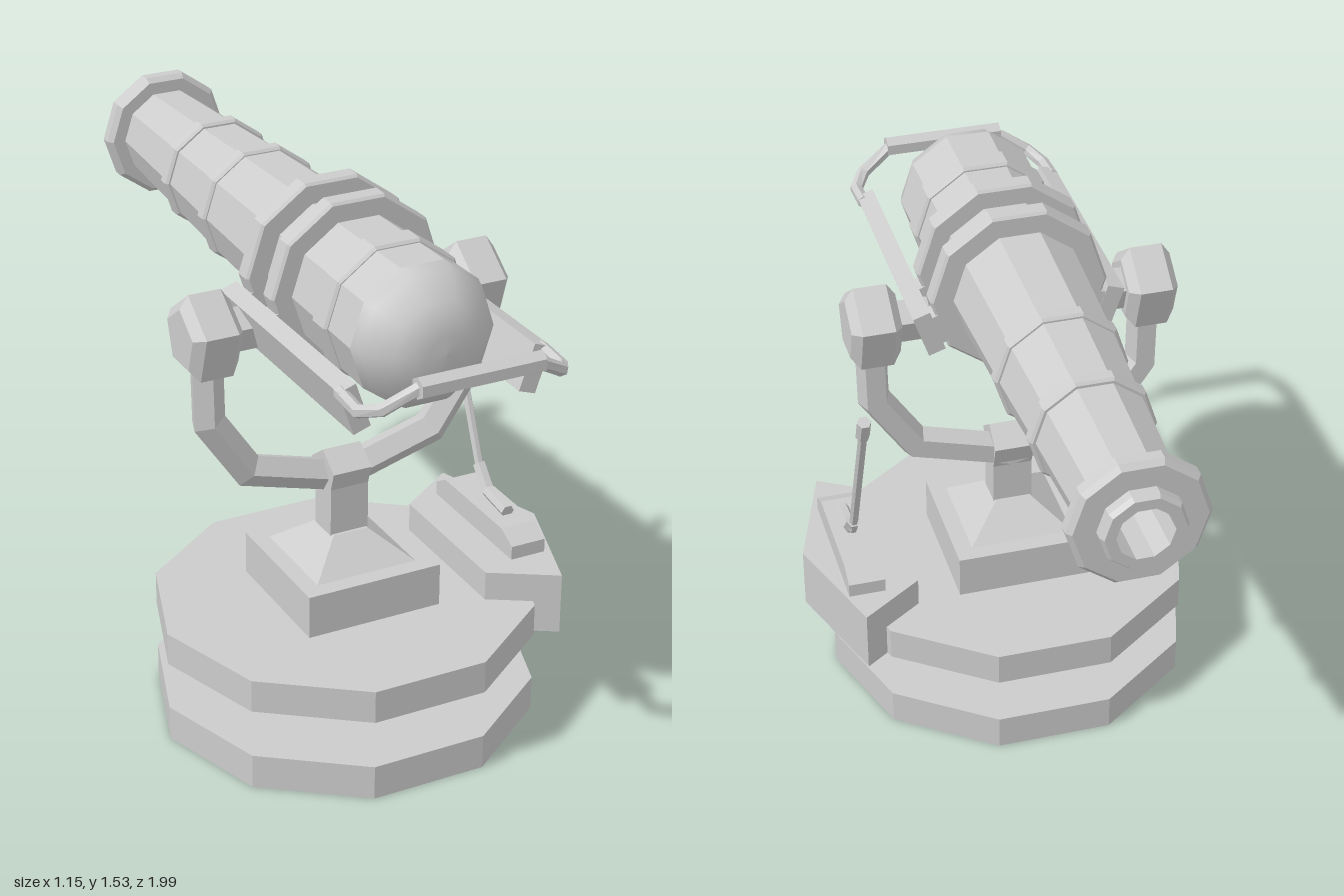
import * as THREE from 'three';

const material = new THREE.MeshStandardMaterial({ color: 0xcccccc, flatShading: true });
const smooth = new THREE.MeshStandardMaterial({ color: 0xcccccc });
const AXIS_X = -0.045, BARREL_Y = 1.295, PIVOT_Z = 0.23;
const DECAGON = Math.cos(Math.PI / 10);

function add(parent, name, geometry, x = 0, y = 0, z = 0, mat = material) {
  const mesh = new THREE.Mesh(geometry, mat);
  mesh.name = name;
  mesh.position.set(x, y, z);
  parent.add(mesh);
  return mesh;
}

// Ten-sided turned form along z; profile is [apothem, z] with z rising on outer faces
function turned(profile) {
  const pts = profile.map(([r, z]) => new THREE.Vector2(r / DECAGON, z));
  return new THREE.LatheGeometry(pts, 10, Math.PI / 2).rotateX(Math.PI / 2);
}

// Decagonal slab with corners on the x axis
function slab(r, h) {
  return new THREE.CylinderGeometry(r, r, h, 10, 1, false, Math.PI / 2);
}

// Outline extruded along x; outline is [z, y]
function extrudeX(outline, width) {
  const shape = new THREE.Shape(outline.map(([z, y]) => new THREE.Vector2(-z, y)));
  return new THREE.ExtrudeGeometry(shape, { depth: width, bevelEnabled: false })
    .translate(0, 0, -width / 2).rotateY(Math.PI / 2);
}

// Faceted bar with mitred corners; up fixes the roll of the section
function sweep(path, r, sides, up) {
  const pts = path.map(p => new THREE.Vector3(...p));
  const last = pts.length - 1, pos = [], idx = [];
  pts.forEach((p, i) => {
    const before = pts[i].clone().sub(pts[Math.max(i - 1, 0)]).normalize();
    const after = pts[Math.min(i + 1, last)].clone().sub(p).normalize();
    const t = before.clone().add(after).normalize();
    const s = t.clone().cross(up).normalize();
    const u = s.clone().cross(t);
    const mitre = 1 / Math.max(0.5, t.dot(i < last ? after : before));
    for (let j = 0; j < sides; j++) {
      const a = j / sides * Math.PI * 2;
      const v = p.clone().addScaledVector(u, r * Math.cos(a)).addScaledVector(s, r * mitre * Math.sin(a));
      pos.push(v.x, v.y, v.z);
    }
  });
  for (let i = 0; i < last; i++) for (let j = 0; j < sides; j++) {
    const k = (j + 1) % sides, a = i * sides + j, b = i * sides + k;
    idx.push(a, b, a + sides, b, b + sides, a + sides);
  }
  for (let j = 1; j < sides - 1; j++) {
    idx.push(0, j + 1, j);
    idx.push(last * sides, last * sides + j, last * sides + j + 1);
  }
  const g = new THREE.BufferGeometry();
  g.setAttribute('position', new THREE.Float32BufferAttribute(pos, 3));
  g.setIndex(idx);
  g.computeVertexNormals();
  return g;
}

function buildBase(g) {
  add(g, 'lowerDisc', slab(0.535, 0.1), 0, 0.05, 0.255);
  add(g, 'baseColumn', slab(0.212, 0.16), 0, 0.17, 0.255);
  add(g, 'upperDisc', slab(0.535, 0.095), 0, 0.2875, 0.255);
  add(g, 'pedestal', new THREE.BoxGeometry(0.4, 0.125, 0.4), 0, 0.3975, 0.245);
  const s = Math.SQRT2;
  add(g, 'pedestalSlope', new THREE.CylinderGeometry(0.052 * s, 0.15 * s, 0.08, 4, 1, false, Math.PI / 4), 0, 0.5, 0.245);
  add(g, 'neck', new THREE.BoxGeometry(0.114, 0.15, 0.092), 0, 0.605, 0.243);
}

function buildYoke(g) {
  const pentagon = (r, l) => new THREE.CylinderGeometry(r, r, l, 5).rotateX(-Math.PI / 2).rotateY(Math.PI / 2);
  // Five-sided clamp with its point up
  const ring = [0, 1, 2, 3, 4].map(i => {
    const a = i * Math.PI * 0.4;
    return [Math.sin(a) * 0.07, Math.cos(a) * 0.07];
  });
  add(g, 'yokeClamp', extrudeX(ring, 0.114), 0, 0.71, 0.24);
  const half = [[0.395, 1.13], [0.392, 0.937], [0.28, 0.77], [0, 0.69]];
  const path = [...half.map(([x, y]) => [-x, y, PIVOT_Z]), ...half.slice(0, 3).reverse().map(([x, y]) => [x, y, PIVOT_Z])];
  add(g, 'yoke', sweep(path, 0.047, 5, new THREE.Vector3(0, 0, 1)));

  // Bevelled five-sided pivot blocks and their axles
  const profile = [[0, -0.071], [0.085, -0.071], [0.121, -0.046], [0.121, 0.046], [0.085, 0.071], [0, 0.071]]
    .map(p => new THREE.Vector2(...p));
  for (const s of [-1, 1]) {
    const block = new THREE.LatheGeometry(profile, 5).rotateX(-Math.PI / 2).rotateY(Math.PI / 2);
    add(g, 'pivotBlock', block, s * 0.394, 1.19, PIVOT_Z);
    add(g, 'axle', pentagon(0.062, 0.11), s * 0.29, 1.19, PIVOT_Z);
  }
}

function buildBarrel(g) {
  add(g, 'barrel', turned([
    [0, -0.7], [0.072, -0.7], [0.072, -1], [0.1, -1], [0.108, -0.985], [0.108, -0.96],
    [0.165, -0.96], [0.178, -0.945], [0.178, -0.915], [0.165, -0.9], [0.13, -0.9],
    [0.147, -0.55], [0.162, -0.27], [0.18, 0.2], [0.19, 0.67],
  ]), 0, BARREL_Y, 0);
  add(g, 'breechDome', turned([[0.19, 0.67], [0.18, 0.705], [0.155, 0.74], [0.125, 0.77], [0.09, 0.795], [0.045, 0.802], [0, 0.805]]),
    0, BARREL_Y, 0, smooth);
  // Reinforcing bands: [centre z, width, apothem]
  const bands = [[0.508, 0.075, 0.197], [0.301, 0.058, 0.237], [0.15, 0.058, 0.237], [-0.267, 0.045, 0.173], [-0.55, 0.045, 0.16]];
  for (const [z, w, r] of bands) {
    const b = 0.007;
    add(g, 'barrelBand', turned([
      [0.12, -w / 2], [r - b, -w / 2], [r, -w / 2 + b], [r, w / 2 - b], [r - b, w / 2], [0.12, w / 2],
    ]), 0, BARREL_Y, z);
  }
}

function buildHandle(g) {
  for (const s of [-1, 1]) {
    const rail = add(g, 'sideRail', new THREE.BoxGeometry(0.05, 0.13, 0.685), s * 0.255, 1.2, 0.4625);
    rail.rotation.z = -s * 0.33;
    for (const z of [0.15, 0.301]) {
      const bracket = add(g, 'railBracket', new THREE.BoxGeometry(0.1, 0.09, 0.058), s * 0.225, 1.21, z);
      bracket.rotation.z = -s * 0.33;
    }
    const path = [[0.285, 1.245, 0.78], [0.285, 1.235, 0.88], [0.25, 1.255, 0.935], [0.16, 1.31, 0.965]]
      .map(([x, y, z]) => [s * x, y, z]);
    add(g, 'handleArm', sweep(path, 0.018, 6, new THREE.Vector3(0, 1, 0)));
  }
  add(g, 'handleGrip', sweep([[-0.172, 1.31, 0.968], [0.172, 1.31, 0.968]], 0.03, 6, new THREE.Vector3(0, 1, 0)));
}

function buildLever(g) {
  // Wedge-shaped shelf on the left edge of the upper disc
  const outline = [[0.28, 0.04], [0.46, -0.085], [0.573, 0.25], [0.46, 0.588], [0.28, 0.48]];
  const shape = new THREE.Shape(outline.map(([x, z]) => new THREE.Vector2(x, -z)));
  add(g, 'leverShelf', new THREE.ExtrudeGeometry(shape, { depth: 0.18, bevelEnabled: false }).rotateX(-Math.PI / 2), 0, 0.24, 0);
  add(g, 'leverHousing', extrudeX([[0.45, 0.42], [0.45, 0.46], [0.39, 0.49], [0.07, 0.49], [0.02, 0.46], [0.02, 0.42]], 0.106), 0.433, 0, 0);
  const up = new THREE.Vector3(1, 0, 0);
  const x = 0.435;
  add(g, 'leverFoot', sweep([[x, 0.5, 0.33], [x, 0.515, 0.22], [x, 0.575, 0.165]], 0.02, 6, up));
  add(g, 'leverRod', sweep([[x, 0.53, 0.183], [x, 1.01, -0.022]], 0.013, 6, up));
  add(g, 'leverGrip', sweep([[x, 0.995, -0.014], [x, 1.06, -0.042]], 0.02, 6, up));
}

export function createModel() {
  const model = new THREE.Group();
  model.name = 'swivelCannon';
  const parts = [['base', buildBase], ['yokeAssembly', buildYoke], ['barrelAssembly', buildBarrel], ['handle', buildHandle]];
  for (const [name, build] of parts) {
    const g = new THREE.Group();
    g.name = name;
    g.position.x = AXIS_X;
    build(g);
    model.add(g);
  }
  const lever = new THREE.Group();
  lever.name = 'lever';
  buildLever(lever);
  model.add(lever);
  return model;
}
